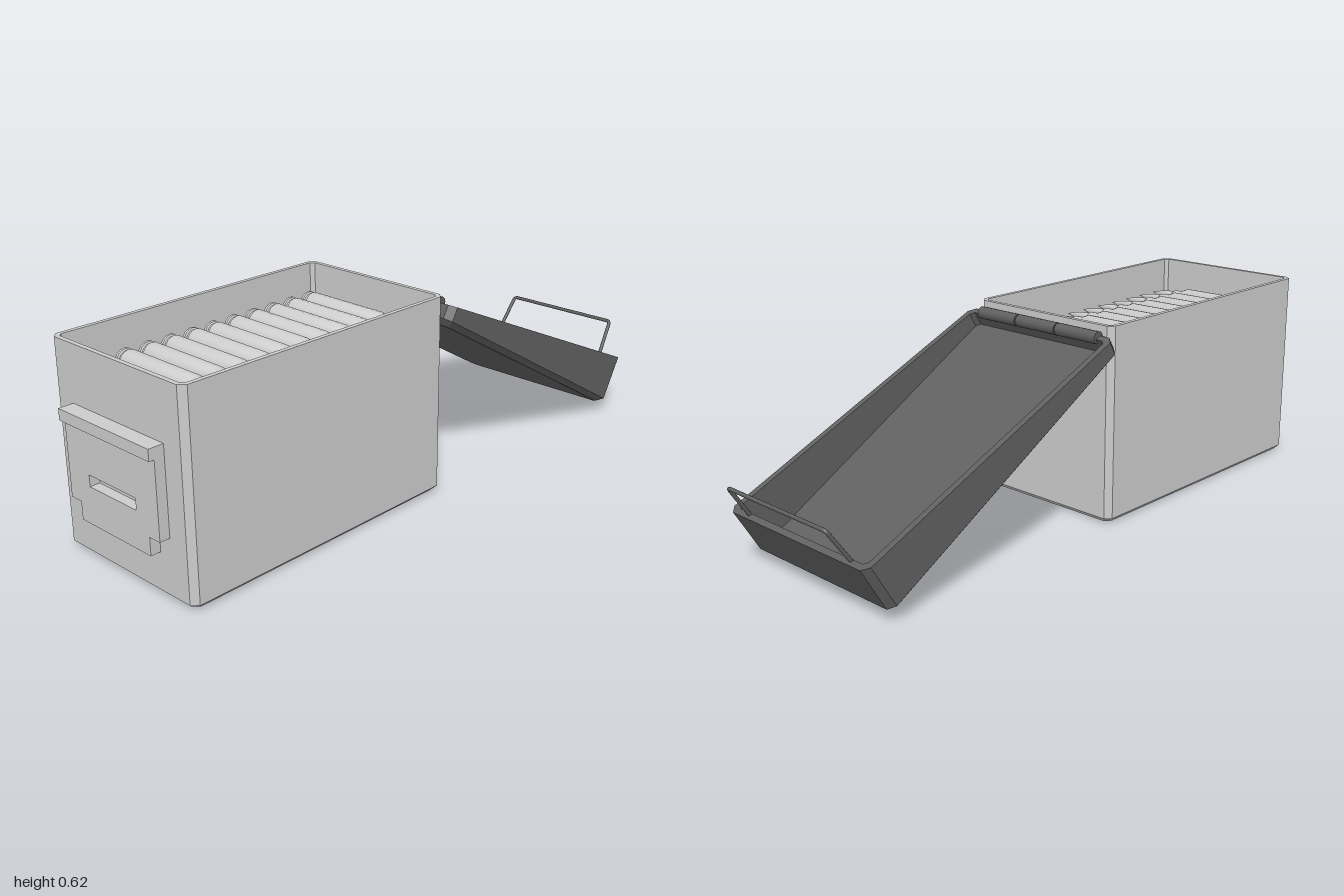
import * as THREE from 'three';
import { toCreasedNormals } from 'three/addons/utils/BufferGeometryUtils.js';

const grey = new THREE.MeshStandardMaterial({ color: 0xcccccc });
const dark = new THREE.MeshStandardMaterial({ color: 0x606060 });

function add(parent, name, geometry, material, x = 0, y = 0, z = 0) {
  const mesh = new THREE.Mesh(geometry, material);
  mesh.name = name;
  mesh.position.set(x, y, z);
  parent.add(mesh);
  return mesh;
}

// Rectangle with cut corners, inset from its bounds; height(z) may slope
function ring([x0, x1, z0, z1], cut, inset, height) {
  const l = x0 + inset, r = x1 - inset, b = z0 + inset, f = z1 - inset;
  return [
    [r, f - cut], [r, b + cut], [r - cut, b], [l + cut, b],
    [l, b + cut], [l, f - cut], [l + cut, f], [r - cut, f],
  ].map(([x, z]) => new THREE.Vector3(x, height(z), z));
}

// Open tray: skin from the underside, up the outside, over the rim, down to the inner floor
function tray(bounds, cut, bevel, wall, floor, rim) {
  const rings = [
    ring(bounds, cut, bevel, () => 0),
    ring(bounds, cut, 0, () => bevel),
    ring(bounds, cut, 0, rim),
    ring(bounds, cut * 0.6, wall, rim),
    ring(bounds, cut * 0.6, wall, () => floor),
  ];
  const points = [];
  const n = rings[0].length;
  const centre = (loop) => loop.reduce((s, p) => s.add(p), new THREE.Vector3()).divideScalar(n);
  const first = rings[0], last = rings[rings.length - 1];
  const under = centre(first), inner = centre(last);
  for (let i = 0; i < n; i++) {
    const j = (i + 1) % n;
    points.push(under, first[j], first[i], inner, last[i], last[j]);
    for (let k = 0; k < rings.length - 1; k++) {
      const a = rings[k], b = rings[k + 1];
      points.push(a[i], a[j], b[j], a[i], b[j], b[i]);
    }
  }
  const geometry = new THREE.BufferGeometry().setFromPoints(points);
  geometry.computeVertexNormals();
  return geometry;
}

function cartridgeGeometry() {
  const profile = [
    [0, 0], [0.033, 0], [0.033, 0.008], [0.028, 0.011], [0.028, 0.018], [0.034, 0.022],
    [0.032, 0.3], [0.021, 0.325], [0.02, 0.355], [0.016, 0.36],
    [0.015, 0.38], [0.011, 0.41], [0.006, 0.435], [0, 0.455],
  ].map(([r, y]) => new THREE.Vector2(r, y));
  return toCreasedNormals(new THREE.LatheGeometry(profile, 16), 0.6);
}

function latchPlate() {
  const shape = new THREE.Shape([
    [-0.155, 0.13], [0.138, 0.13], [0.138, 0.184], [0.18, 0.184],
    [0.18, 0.43], [-0.197, 0.43], [-0.197, 0.184], [-0.155, 0.184],
  ].map(([x, y]) => new THREE.Vector2(x, y)));
  shape.holes.push(new THREE.Path([
    [-0.107, 0.243], [-0.107, 0.277], [0.09, 0.277], [0.09, 0.243],
  ].map(([x, y]) => new THREE.Vector2(x, y))));
  return new THREE.ExtrudeGeometry(shape, { depth: 0.032, bevelEnabled: false });
}

export function createModel() {
  const model = new THREE.Group();
  model.name = 'ammunitionBox';

  // Open body
  add(model, 'body', tray([-0.277, 0.263, -0.01, 0.953], 0.018, 0.016, 0.014, 0.02, () => 0.616), grey);

  // Front latch: slotted plate under a projecting lip
  const latch = new THREE.Group();
  latch.name = 'latch';
  add(latch, 'latchPlate', latchPlate(), grey, 0, 0, 0.952);
  add(latch, 'latchLip', new THREE.BoxGeometry(0.377, 0.034, 0.048), grey, -0.0085, 0.428, 0.976);
  model.add(latch);

  // Two staggered layers of cartridges lying across the box
  const cartridges = new THREE.Group();
  cartridges.name = 'cartridges';
  const round = cartridgeGeometry();
  for (let layer = 0; layer < 2; layer++) {
    for (let i = 0; i < 11; i++) {
      const z = 0.065 + i * 0.0775 + layer * 0.039;
      add(cartridges, 'cartridge', round, grey, -0.223, 0.51 - layer * 0.066, z).rotation.z = -Math.PI / 2;
    }
  }
  model.add(cartridges);

  // Hinge knuckles
  for (const x of [-0.165, -0.005, 0.157]) {
    const geometry = new THREE.CylinderGeometry(0.019, 0.019, 0.156, 16);
    add(model, 'hingeKnuckle', geometry, dark, x, 0.582, -0.029).rotation.z = Math.PI / 2;
  }

  // Lid folded back, its walls deepening towards the free end
  const lid = new THREE.Group();
  lid.name = 'lid';
  lid.position.set(-0.004, 0.535, 0.01);
  lid.rotation.set(-0.527, -0.005, 0, 'YXZ');
  const length = 1.016;
  const rim = (z) => 0.06 - (z / length) * 0.113;
  add(lid, 'lidShell', tray([-0.294, 0.294, -length, 0], 0.02, 0.018, 0.02, 0.014, rim), dark);

  // Wire handle standing on the end of the lid
  const corners = [
    [-0.222, 0.16, -1.0], [-0.212, 0.288, -1.008], [0.206, 0.288, -1.008], [0.216, 0.16, -1.0],
  ].map((p) => new THREE.Vector3(...p));
  const path = new THREE.CurvePath();
  const [a, b, c, d] = corners;
  const b0 = b.clone().lerp(a, 0.09), b1 = b.clone().lerp(c, 0.025);
  const c0 = c.clone().lerp(b, 0.025), c1 = c.clone().lerp(d, 0.09);
  path.add(new THREE.LineCurve3(a, b0));
  path.add(new THREE.QuadraticBezierCurve3(b0, b, b1));
  path.add(new THREE.LineCurve3(b1, c0));
  path.add(new THREE.QuadraticBezierCurve3(c0, c, c1));
  path.add(new THREE.LineCurve3(c1, d));
  add(lid, 'handle', new THREE.TubeGeometry(path, 120, 0.006, 8), dark);
  model.add(lid);

  return model;
}
